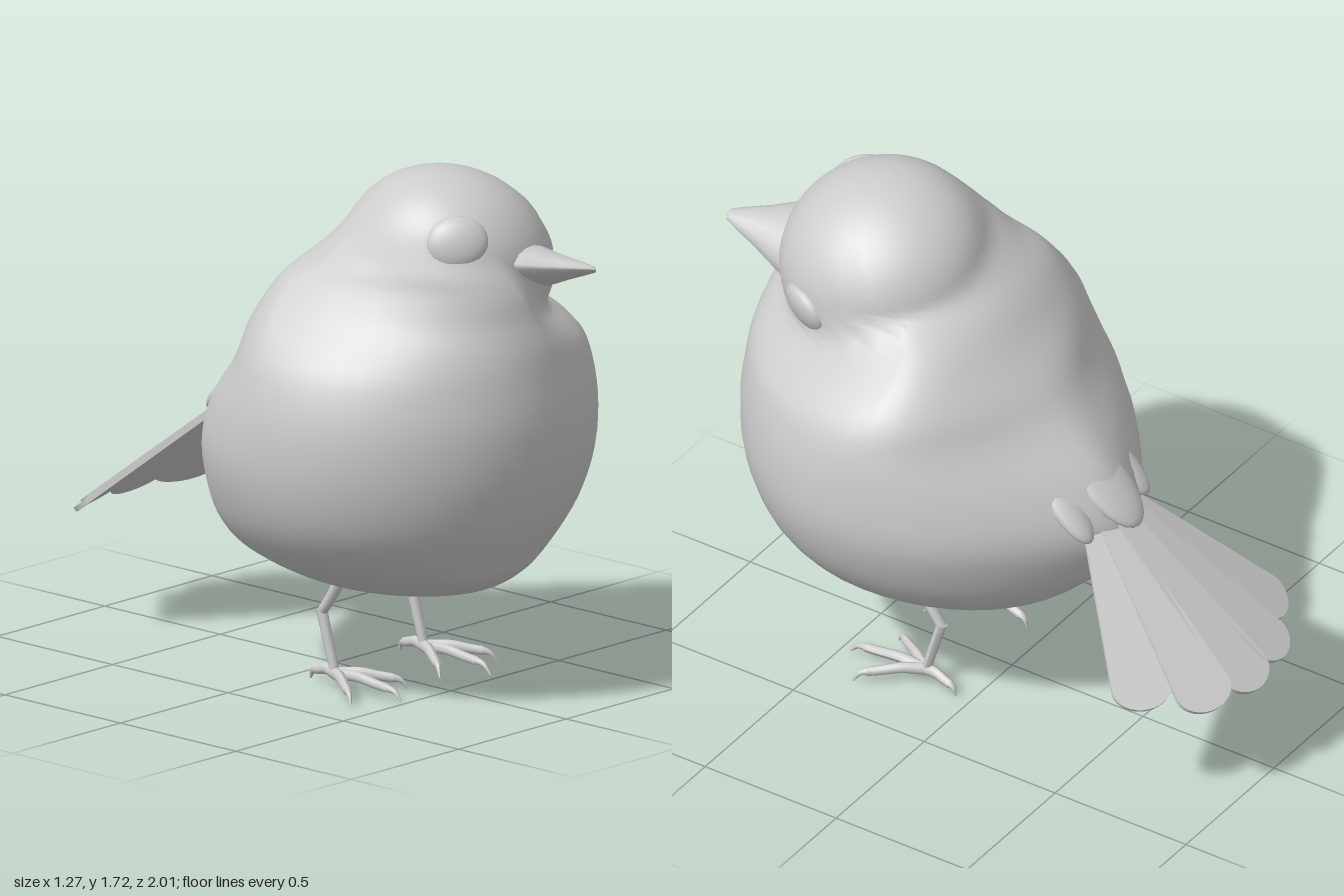
import * as THREE from 'three';

const V = (x, y, z) => new THREE.Vector3(x, y, z);
const step = THREE.MathUtils.smoothstep;
const material = new THREE.MeshStandardMaterial({ color: 0xcccccc, side: THREE.DoubleSide });

function mesh(name, geometry) {
  const m = new THREE.Mesh(geometry, material);
  m.name = name;
  return m;
}

// Places a mesh so its local y follows `dir` and its local x lies closest to `side`
function orient(m, position, dir, side) {
  const y = dir.clone().normalize();
  const z = side.clone().cross(y).normalize();
  const x = y.clone().cross(z);
  m.quaternion.setFromRotationMatrix(new THREE.Matrix4().makeBasis(x, y, z));
  m.position.copy(position);
  return m;
}

// Tube whose radius runs from r0 to r1 along a smooth path
function taperedTube(points, r0, r1, n = 12, sides = 8) {
  const path = new THREE.CatmullRomCurve3(points, false, 'centripetal');
  const g = new THREE.TubeGeometry(path, n, r0, sides);
  const pos = g.attributes.position, v = V(0, 0, 0);
  for (let i = 0; i <= n; i++) {
    const c = path.getPointAt(i / n), k = THREE.MathUtils.lerp(1, r1 / r0, i / n);
    for (let j = 0; j <= sides; j++) {
      const id = i * (sides + 1) + j;
      v.fromBufferAttribute(pos, id).sub(c).multiplyScalar(k).add(c);
      pos.setXYZ(id, v.x, v.y, v.z);
    }
  }
  g.computeVertexNormals();
  return g;
}

// Distance from (x, z) along the unit direction (dx, dz) to the slice of the round head at height y
function headReach(x, y, z, dx, dz) {
  const rx = .325, ry = .3, rz = .34, h = y - 1.425;
  const ox = (x - .025 + .15 * h) / rx, oz = (z - .47) / rz, ux = dx / rx, uz = dz / rz;
  const a = ux * ux + uz * uz, b = ox * ux + oz * uz, c = ox * ox + oz * oz + (h / ry) ** 2 - 1;
  const disc = b * b - a * c;
  return disc > 0 ? Math.max(0, (Math.sqrt(disc) - b) / a) : 0;
}

// Larger of two radii with a soft blend where they meet
function softMax(a, b) {
  const top = Math.max(a, b), k = Math.min(.05, .3 * top);
  return top + Math.max(k - Math.abs(a - b), 0) ** 2 / (4 * k);
}

// Body and head in one skin: rows of height, x min, x max, z middle, z front, z back
function bodyGeometry() {
  const rows = [
    [.308, -.001, .001, .24, .241, .239], [.322, -.15, .15, .24, .45, .04], [.358, -.27, .27, .25, .63, -.1],
    [.42, -.39, .385, .25, .735, -.23], [.5, -.5, .49, .26, .79, -.33], [.62, -.585, .575, .28, .855, -.43],
    [.78, -.633, .63, .28, .905, -.49], [.95, -.635, .63, .28, .92, -.4], [1.1, -.6, .6, .26, .905, -.24],
    [1.2, -.545, .545, .22, .89, -.15], [1.29, -.475, .445, .18, .865, -.06], [1.38, -.41, .32, .2, .84, .02],
    [1.45, -.36, .2, .3, .79, .1], [1.53, -.305, .1, .35, .69, .2], [1.61, -.23, .02, .4, .6, .28],
    [1.68, -.12, .02, .45, .55, .38], [1.712, -.05, .01, .47, .5, .44], [1.725, -.021, -.019, .47, .471, .469],
  ];
  const widths = new THREE.CatmullRomCurve3(rows.map(r => V(r[0], r[1], r[2])), false, 'catmullrom');
  const depths = new THREE.CatmullRomCurve3(rows.map(r => V(r[3], r[4], r[5])), false, 'catmullrom');
  const N = 68, M = 48, pos = [], index = [];
  for (let i = 0; i <= N; i++) {
    const w = widths.getPoint(i / N), d = depths.getPoint(i / N), y = w.x;
    const cx = (w.y + w.z) / 2, half = (w.z - w.y) / 2;
    const rump = step(y, .4, .8) * (1 - step(y, 1, 1.35));
    const neck = step(y, 1.12, 1.32);
    for (let j = 0; j < M; j++) {
      const a = j / M * Math.PI * 2, c = Math.cos(a), s = Math.sin(a), front = s > 0;
      // Narrows to the rump, and under the cheek on the side the head leans to
      const narrow = front ? (.05 + (c > 0 ? .5 * neck : 0)) * s * s : .57 * rump * -s * s * s;
      const dx = half * c * (1 - narrow) + (front ? 0 : .05 * rump * s * s);
      const dz = s * (front ? d.y - d.x : d.x - d.z);
      const r = Math.hypot(dx, dz);
      const k = softMax(r, headReach(cx, y, d.x, dx / r, dz / r)) / r;
      pos.push(cx + dx * k, y, d.x + dz * k);
      if (i < N) {
        const p = i * M + j, q = i * M + (j + 1) % M;
        index.push(p, p + M, q + M, p, q + M, q);
      }
    }
  }
  const g = new THREE.BufferGeometry();
  g.setAttribute('position', new THREE.Float32BufferAttribute(pos, 3));
  g.setIndex(index);
  g.computeVertexNormals();
  return g;
}

// Flared beak along y, with a high ridge above (-z) and a flatter lower half
function beakGeometry() {
  const profile = [[1, 0], [.8, .22], [.55, .48], [.33, .75], [.15, .95], [0, 1]];
  const g = new THREE.LatheGeometry(profile.map(p => new THREE.Vector2(...p)), 16);
  const pos = g.attributes.position;
  for (let i = 0; i < pos.count; i++) if (pos.getZ(i) > 0) pos.setZ(i, pos.getZ(i) * .45);
  g.scale(.14, .245, .095);
  g.computeVertexNormals();
  return g;
}

// Flat feather widening to a rounded tip, length along y
function featherGeometry(length, width) {
  const s = new THREE.Shape(), w = width / 2, e = length - w * .75;
  s.moveTo(-.03, 0);
  s.lineTo(.03, 0);
  s.lineTo(w, e);
  s.bezierCurveTo(w, e + w * .4, w * .55, length, 0, length);
  s.bezierCurveTo(-w * .55, length, -w, e + w * .4, -w, e);
  s.closePath();
  return new THREE.ExtrudeGeometry(s, { depth: .016, bevelEnabled: false, curveSegments: 8 });
}

function makeTail() {
  const tail = new THREE.Group();
  tail.name = 'tail';
  const tips = [V(-.27, .4, -.86), V(-.1, .37, -.97), V(.085, .362, -.995), V(.27, .37, -.95), V(.42, .4, -.8)];
  tips.forEach((tip, i) => {
    const base = V(.05 + .035 * (i - 2), .865 - .015 * Math.abs(i - 2), -.37);
    const dir = tip.clone().sub(base);
    const side = tips[Math.min(i + 1, 4)].clone().sub(tips[Math.max(i - 1, 0)]);
    tail.add(orient(mesh('tailFeather', featherGeometry(dir.length(), .2)), base, dir, side));
  });
  // Short feathers covering the root of the tail
  [[.05, .91, -.385, .1, .18, 0], [-.1, .88, -.34, .06, .14, -.1], [.2, .88, -.34, .06, .14, .1]]
    .forEach(([x, y, z, w, l, lean]) => {
      const m = mesh('tailCovert', new THREE.SphereGeometry(1, 16, 12));
      m.scale.set(w, l, .035);
      tail.add(orient(m, V(x, y, z), V(lean, -.75, -.85), V(1, 0, 0)));
    });
  return tail;
}

function makeLeg(name, x, z) {
  const leg = new THREE.Group();
  leg.name = name;
  leg.position.set(x, 0, z);
  const thigh = mesh('upperLeg', taperedTube([V(0, .38, .06), V(0, .31, .02), V(0, .24, -.03)], .02, .017, 4));
  const shank = mesh('lowerLeg', taperedTube([V(0, .25, -.03), V(0, .15, 0), V(0, .05, .03)], .018, .016, 4));
  leg.add(thigh, shank);
  // Three toes forward, one back, each ending in a hooked claw
  [[0, .27], [-.125, .18], [.125, .18], [.02, -.12]].forEach(([dx, dz]) => {
    const at = (t, y) => V(dx * t, y, .03 + dz * t);
    leg.add(mesh('toe', taperedTube([at(0, .05), at(.35, .056), at(.65, .047), at(.85, .042)], .02, .015)));
    leg.add(mesh('claw', taperedTube([at(.82, .043), at(.95, .037), at(1.06, .008)], .014, .003, 6)));
  });
  return leg;
}

function makeEye(name, position, normal, side) {
  const m = mesh(name, new THREE.SphereGeometry(1, 24, 16));
  m.scale.set(.1, .042, .086);
  return orient(m, position, normal, side);
}

export function createModel() {
  const bird = new THREE.Group();
  bird.name = 'bird';
  bird.add(mesh('bodyAndHead', bodyGeometry()));

  // Eyes follow the tilt and turn of the head
  bird.add(makeEye('rightEye', V(-.172, 1.545, .688), V(-.64, .28, .7), V(.7, .1, .7)));
  bird.add(makeEye('leftEye', V(.3, 1.35, .583), V(.84, -.36, .42), V(-.4, 0, .9)));
  bird.add(orient(mesh('beak', beakGeometry()), V(.083, 1.415, .765), V(.055, .037, .235), V(.92, -.37, 0)));

  bird.add(makeTail());
  bird.add(makeLeg('rightLeg', -.215, .17));
  bird.add(makeLeg('leftLeg', .22, .15));
  return bird;
}
